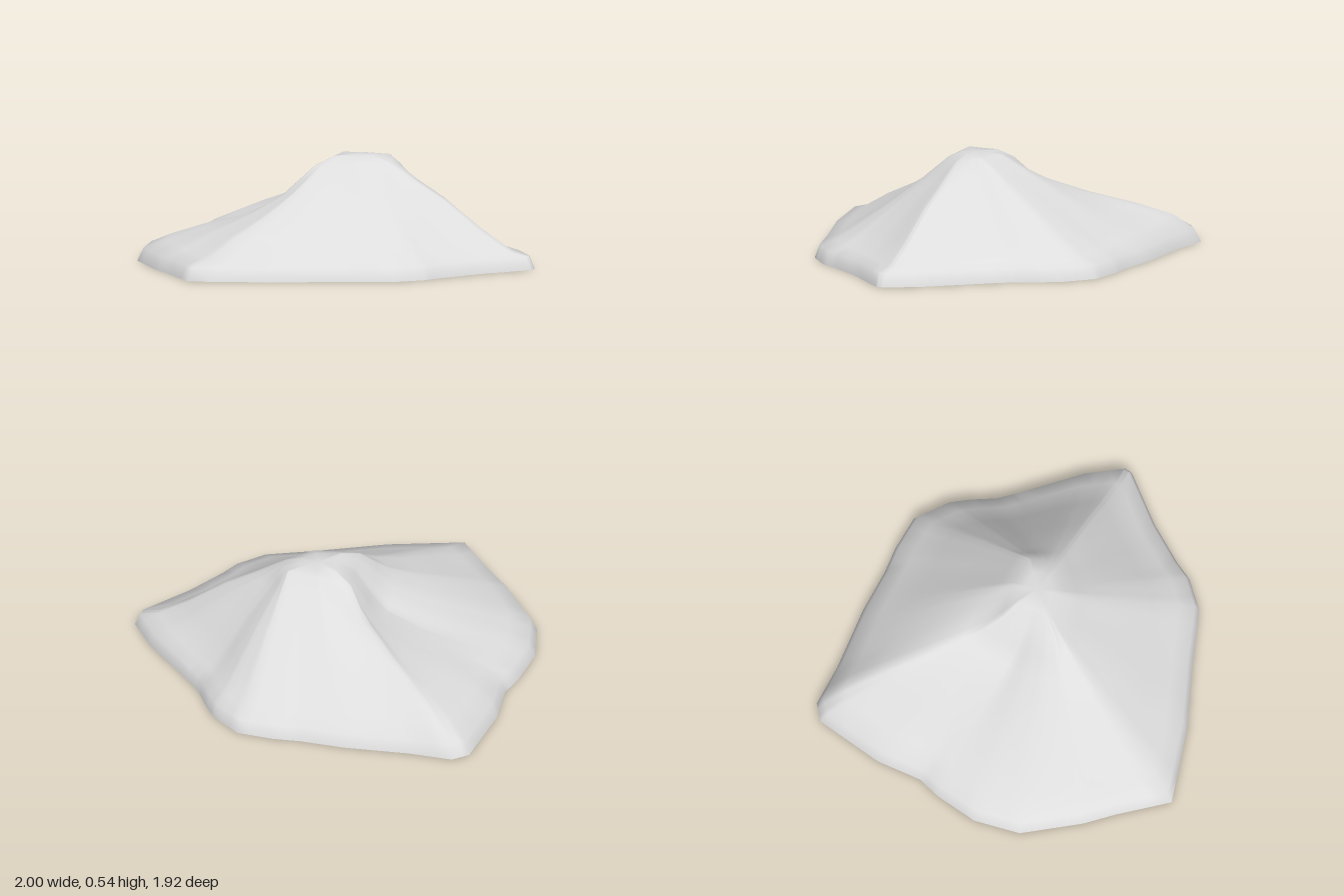
import * as THREE from 'three';

const { lerp } = THREE.MathUtils;

// Ground outline [x, z], running right -> front -> left -> back
const outline = [
  [1, -0.18], [0.83, 0.07], [0.72, 0.28], [0.68, 0.38], [0.57, 0.51], [0.33, 0.63], [0, 0.81],
  [-0.37, 0.96], [-0.58, 0.76], [-0.71, 0.65], [-0.93, 0.41], [-1, 0.18], [-0.99, -0.05],
  [-0.965, -0.17], [-1, -0.4], [-0.98, -0.76], [-0.91, -0.83], [-0.69, -0.85], [-0.36, -0.91],
  [-0.13, -0.93], [0, -0.955], [0.19, -0.965], [0.35, -0.87], [0.42, -0.79], [0.5, -0.68],
  [0.59, -0.6], [0.87, -0.37], [1, -0.22],
];

// Key spokes by outline index: summit edge x, z, then heights from summit edge to rim
const rightRidge = [0.22, -0.12, 0.51, 0.465, 0.415, 0.325, 0.18, 0.085];
const spokes = [
  [0, rightRidge],
  [4, [0.12, 0.0, 0.51, 0.455, 0.4, 0.3, 0.185, 0.1]],        // front right face
  [7, [-0.06, 0.07, 0.495, 0.435, 0.375, 0.28, 0.185, 0.095]], // front ridge
  [9, [-0.1, 0.08, 0.49, 0.42, 0.35, 0.265, 0.18, 0.11]],
  [10, [-0.11, 0.04, 0.49, 0.4, 0.32, 0.24, 0.17, 0.11]],
  [12, [-0.12, -0.06, 0.49, 0.37, 0.28, 0.215, 0.17, 0.11]],   // left hollow
  [14, [-0.14, -0.15, 0.49, 0.38, 0.3, 0.235, 0.19, 0.12]],    // left shelf
  [16, [-0.15, -0.21, 0.49, 0.4, 0.36, 0.29, 0.22, 0.15]],     // back left ridge
  [18, [0.0, -0.25, 0.53, 0.485, 0.435, 0.335, 0.205, 0.11]],  // back face
  [21, [0.17, -0.25, 0.53, 0.485, 0.43, 0.335, 0.2, 0.095]],   // back ridge
  [25, [0.21, -0.19, 0.52, 0.475, 0.42, 0.33, 0.19, 0.09]],    // back right face
  [28, rightRidge],
];
const rings = [0, 0.1, 0.2, 0.4, 0.65, 0.85, 0.965, 1]; // summit edge to ground
const summit = [0.05, 0.54, -0.13];

// Blend of the two key spokes around outline position u
function spokeAt(u) {
  let k = 0;
  while (u >= spokes[k + 1][0]) k++;
  const [u0, a] = spokes[k], [u1, b] = spokes[k + 1];
  return a.map((v, i) => lerp(v, b[i], (u - u0) / (u1 - u0)));
}

function hillGeometry() {
  const positions = [...summit], index = [];
  const split = 3, n = outline.length * split, m = rings.length + 1;
  for (let s = 0; s < n; s++) {
    const u = s / split, i = Math.floor(u);
    const p = outline[i], q = outline[(i + 1) % outline.length];
    const x = lerp(p[0], q[0], u - i), z = lerp(p[1], q[1], u - i);
    const [cx, cz, ...slope] = spokeAt(u);
    const heights = [...slope, 0.066, 0];
    // Rounded summit, then the slope
    positions.push(lerp(summit[0], cx, 0.55), 0.537, lerp(summit[2], cz, 0.55));
    rings.forEach((t, r) => positions.push(lerp(cx, x, t), heights[r], lerp(cz, z, t)));
    const a = 1 + s * m, b = 1 + ((s + 1) % n) * m;
    index.push(0, b, a);
    for (let r = 0; r < m - 1; r++) {
      index.push(a + r, b + r, a + r + 1, b + r, b + r + 1, a + r + 1);
    }
  }
  const geometry = new THREE.BufferGeometry();
  geometry.setAttribute('position', new THREE.Float32BufferAttribute(positions, 3));
  geometry.setIndex(index);
  geometry.computeVertexNormals();
  return geometry;
}

export function createModel() {
  const group = new THREE.Group();
  group.name = 'rockyHill';
  // Open shell, so both sides show
  const stone = new THREE.MeshStandardMaterial({ color: 0xdddddd, side: THREE.DoubleSide });
  stone.name = 'pale stone';
  const hill = new THREE.Mesh(hillGeometry(), stone);
  hill.name = 'hillSurface';
  group.add(hill);
  return group;
}
